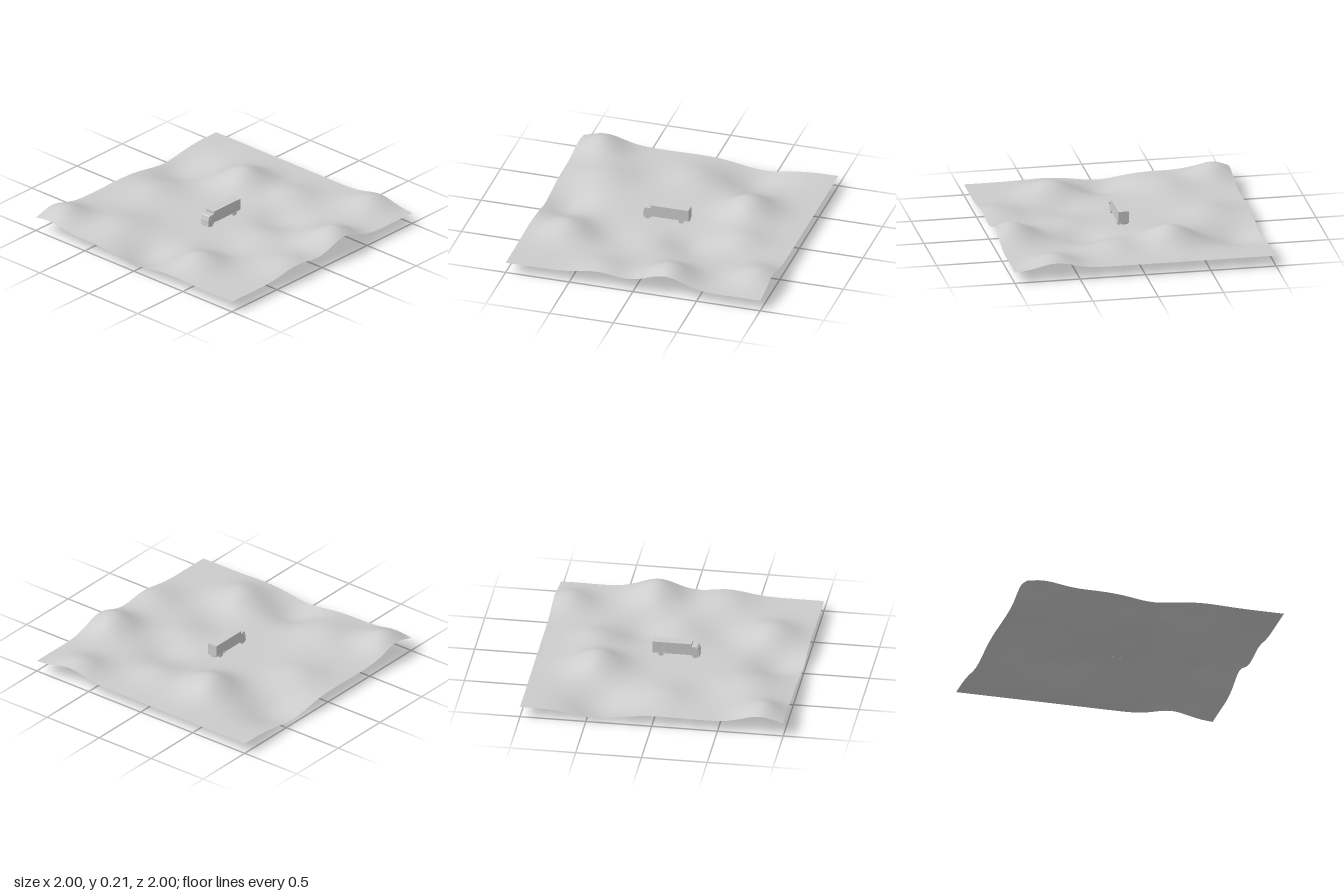
import * as THREE from 'three';
import { RoundedBoxGeometry } from 'three/addons/geometries/RoundedBoxGeometry.js';

const grey = new THREE.MeshStandardMaterial({ color: 0xcccccc });
const sheet = new THREE.MeshStandardMaterial({ color: 0xcccccc, side: THREE.DoubleSide });

const BASE = 0.084;
// Hills and hollows: x, z, height, spread
const BUMPS = [
  [-0.28, -0.52, 0.126, 0.145],
  [0.88, -0.25, 0.126, 0.14],
  [-0.87, 0.82, 0.106, 0.13],
  [0.4, 0.7, 0.09, 0.14],
  [0.68, -0.88, 0.08, 0.13],
  [0.15, -0.6, 0.048, 0.13],
  [-0.45, 0.66, 0.058, 0.17],
  [-0.68, 0.04, 0.044, 0.15],
  [0.9, 0.28, 0.052, 0.14],
  [0.4, 0.02, 0.02, 0.12],
  [-0.82, -0.42, -0.084, 0.17],
  [-0.02, 0.82, -0.072, 0.14],
  [0.34, -0.27, -0.045, 0.13],
  [0.36, 0.36, -0.03, 0.14],
];

function groundHeight(x, z) {
  let y = BASE;
  for (const [bx, bz, h, s] of BUMPS) {
    y += h * Math.exp(-((x - bx) ** 2 + (z - bz) ** 2) / (2 * s * s));
  }
  return Math.max(0, y);
}

function add(group, name, geometry, x, y, z, material = grey) {
  const mesh = new THREE.Mesh(geometry, material);
  mesh.name = name;
  mesh.position.set(x, y, z);
  group.add(mesh);
  return mesh;
}

function createTerrain() {
  const geo = new THREE.PlaneGeometry(2, 2, 100, 100).rotateX(-Math.PI / 2);
  const p = geo.attributes.position;
  for (let i = 0; i < p.count; i++) p.setY(i, groundHeight(p.getX(i), p.getZ(i)));
  geo.computeVertexNormals();
  const mesh = new THREE.Mesh(geo, sheet);
  mesh.name = 'terrain';
  return mesh;
}

function createTruck() {
  const truck = new THREE.Group();
  truck.name = 'truck';

  // Cargo body and chassis
  add(truck, 'cargoBox', new THREE.BoxGeometry(0.08, 0.092, 0.296), 0, 0.154, 0.007);
  add(truck, 'chassis', new THREE.BoxGeometry(0.036, 0.012, 0.32), 0, 0.103, 0.02);

  // Cab: side profile with a raked windscreen, extruded across the width
  const side = new THREE.Shape();
  side.moveTo(0.155, 0.1);
  side.lineTo(0.208, 0.1);
  side.lineTo(0.212, 0.106);
  side.lineTo(0.212, 0.136);
  side.lineTo(0.203, 0.17);
  side.lineTo(0.196, 0.175);
  side.lineTo(0.155, 0.175);
  side.closePath();
  const cab = new THREE.ExtrudeGeometry(side, {
    depth: 0.07, bevelEnabled: true, bevelThickness: 0.003, bevelSize: 0.002, bevelSegments: 2,
  });
  cab.translate(0, 0, -0.035).rotateY(-Math.PI / 2);
  add(truck, 'cab', cab, 0, 0, 0);

  // Cab front details
  const screen = add(truck, 'windscreen', new THREE.BoxGeometry(0.062, 0.026, 0.002), 0, 0.154, 0.2098);
  screen.rotation.x = -0.26;
  add(truck, 'bumper', new RoundedBoxGeometry(0.078, 0.014, 0.012, 2, 0.003), 0, 0.1, 0.21);
  add(truck, 'grille', new THREE.BoxGeometry(0.04, 0.012, 0.003), 0, 0.122, 0.2145);

  // Wheels, mirrors and headlamps on both sides
  const tyre = new THREE.CylinderGeometry(0.019, 0.019, 0.016, 24).rotateZ(Math.PI / 2);
  const hub = new THREE.CylinderGeometry(0.009, 0.009, 0.018, 16).rotateZ(Math.PI / 2);
  for (const s of [-1, 1]) {
    for (const z of [0.182, -0.08]) {
      add(truck, 'tyre', tyre, s * 0.03, 0.098, z);
      add(truck, 'hub', hub, s * 0.03, 0.098, z);
    }
    add(truck, 'mirror', new RoundedBoxGeometry(0.007, 0.018, 0.005, 2, 0.002), s * 0.043, 0.152, 0.199);
    add(truck, 'headlamp', new THREE.BoxGeometry(0.012, 0.009, 0.003), s * 0.028, 0.115, 0.2145);
    add(truck, 'sideWindow', new THREE.BoxGeometry(0.002, 0.022, 0.026), s * 0.038, 0.154, 0.182);
  }
  add(truck, 'sideBracket', new THREE.BoxGeometry(0.005, 0.01, 0.03), -0.042, 0.112, -0.05);
  for (const z of [0.182, -0.08]) {
    add(truck, 'axle', new THREE.CylinderGeometry(0.004, 0.004, 0.06, 12).rotateZ(Math.PI / 2), 0, 0.098, z);
  }
  return truck;
}

export function createModel() {
  const model = new THREE.Group();
  model.name = 'truckOnHills';
  model.add(createTerrain(), createTruck());
  return model;
}
